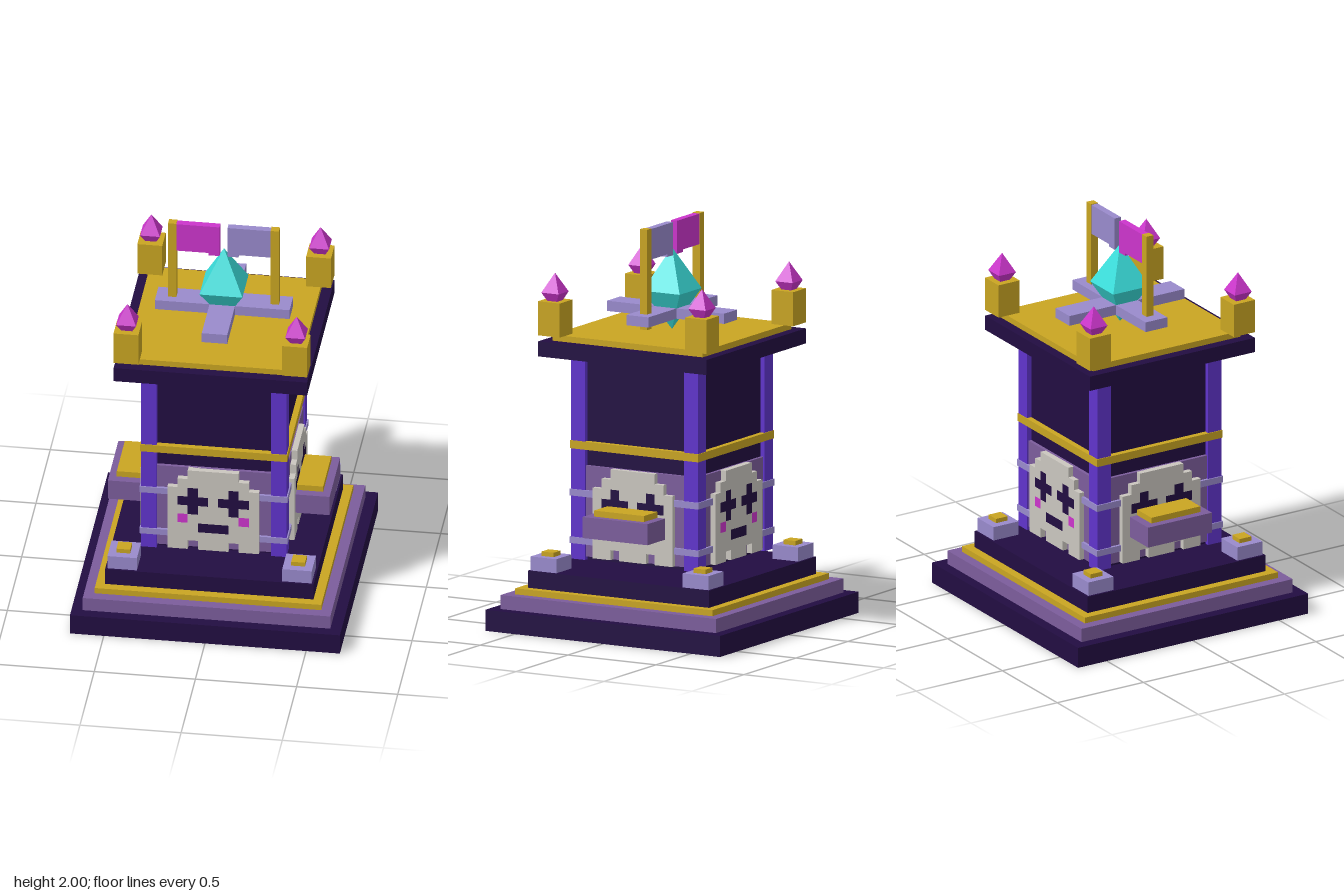
import * as THREE from 'three';

const mat = (name, color) => {
  const m = new THREE.MeshStandardMaterial({ color, flatShading: true });
  m.name = name;
  return m;
};

export function createModel() {
  const dark = mat('dark indigo', 0x220d42);
  const plum = mat('plum', 0x7c5d9c);
  const gold = mat('gold', 0xc9a522);
  const lilac = mat('lilac', 0x998acc);
  const violet = mat('violet', 0x6034cc);
  const bone = mat('bone', 0xcac6bf);
  const magenta = mat('magenta', 0xcc35cc);
  const cyan = mat('cyan', 0x3adedb);

  const model = new THREE.Group();
  model.name = 'shrineTower';

  // Box given by its lower and upper limits on each axis
  const box = (name, m, [x0, x1], [y0, y1], [z0, z1], parent = model) => {
    const mesh = new THREE.Mesh(new THREE.BoxGeometry(x1 - x0, y1 - y0, z1 - z0), m);
    mesh.position.set((x0 + x1) / 2, (y0 + y1) / 2, (z0 + z1) / 2);
    mesh.name = name;
    parent.add(mesh);
    return mesh;
  };
  // Square slab centred on the axis
  const slab = (name, m, h, y0, y1) => box(name, m, [-h, h], [y0, y1], [-h, h]);
  // Square block centred on (x, z)
  const block = (name, m, x, z, h, y0, y1) =>
    box(name, m, [x - h, x + h], [y0, y1], [z - h, z + h]);
  // Four-sided double pyramid
  const crystal = (name, m, x, z, h, bottom, middle, top) => {
    const g = new THREE.Group();
    g.name = name;
    const up = new THREE.Mesh(new THREE.ConeGeometry(h * Math.SQRT2, top - middle, 4, 1, true), m);
    up.position.y = (top + middle) / 2;
    const down = new THREE.Mesh(new THREE.ConeGeometry(h * Math.SQRT2, middle - bottom, 4, 1, true), m);
    down.position.y = (middle + bottom) / 2;
    down.rotation.x = Math.PI;
    up.name = name + 'Top';
    down.name = name + 'Bottom';
    g.add(up, down);
    // Turn the square parallel to the tower
    g.rotation.y = Math.PI / 4;
    g.position.set(x, 0, z);
    model.add(g);
  };

  // Stepped base
  slab('baseStep', dark, 0.667, 0, 0.105);
  slab('middleStep', plum, 0.612, 0.105, 0.175);
  slab('goldStep', gold, 0.56, 0.175, 0.205);
  slab('topStep', dark, 0.515, 0.205, 0.29);

  // Tower body, floating just above the base
  slab('core', dark, 0.335, 0.34, 1.355);
  slab('goldBand', gold, 0.364, 0.89, 0.93);
  slab('lowerRing', lilac, 0.366, 0.418, 0.45);
  slab('upperRing', lilac, 0.366, 0.655, 0.688);

  // Roof
  slab('roofSlab', dark, 0.478, 1.355, 1.43);
  slab('roofPlate', gold, 0.427, 1.43, 1.46);

  // Corner parts
  for (const sx of [-1, 1]) {
    for (const sz of [-1, 1]) {
      block('pillar', violet, sx * 0.321, sz * 0.321, 0.039, 0.34, 1.355);
      block('cornerFoot', lilac, sx * 0.432, sz * 0.432, 0.073, 0.29, 0.36);
      block('footCap', gold, sx * 0.432, sz * 0.432, 0.034, 0.36, 0.382);
      block('turret', gold, sx * 0.417, sz * 0.417, 0.0615, 1.46, 1.63);
      crystal('turretGem', magenta, sx * 0.418, sz * 0.418, 0.049, 1.575, 1.672, 1.768);
    }
  }

  // Pixel skull: B bone, D dark, M magenta, blank shows the panel
  const rows = [
    '   BBBBB   ',
    '  BBBBBBB  ',
    ' BBDBBBDBB ',
    ' BDDDBDDDB ',
    ' BBDBBBDBB ',
    ' BMBBBBBMB ',
    ' BBBDDDBBB ',
    ' BBBBBBBBB ',
    ' BB BBB BB ',
  ];
  const paint = { B: ['skull', bone], D: ['eyesAndMouth', dark], M: ['cheek', magenta] };
  const p = 0.0503, top = 0.81;
  for (let side = 0; side < 4; side++) {
    const face = new THREE.Group();
    face.name = 'skullFace';
    face.rotation.y = side * Math.PI / 2;
    model.add(face);
    box('facePanel', plum, [-0.282, 0.282], [0.357, top], [0.33, 0.352], face);
    rows.forEach((row, r) => {
      // One box per run of equal pixels
      for (const run of row.matchAll(/B+|D+|M+/g)) {
        const [name, m] = paint[run[0][0]];
        const x = (run.index - 5.5) * p;
        box(name, m, [x, x + run[0].length * p],
          [top - (r + 1) * p, top - r * p], [0.345, 0.38], face);
      }
    });
  }

  // Side shelves
  for (const s of [-1, 1]) {
    const span = (a, b) => (s > 0 ? [a, b] : [-b, -a]);
    box('shelf', plum, span(0.36, 0.548), [0.49, 0.595], [-0.185, 0.185]);
    box('shelfTop', gold, span(0.36, 0.51), [0.595, 0.625], [-0.142, 0.142]);

    // Flagpoles and their banners
    const cloth = s < 0 ? magenta : lilac;
    box('flagPole', gold, span(0.233, 0.274), [1.5, 2], [-0.02, 0.02]);
    box('banner', cloth, span(0.02, 0.233), [1.845, 1.997], [-0.018, 0.018]);
    box('bannerTip', cloth, span(0.02, 0.074), [1.832, 1.845], [-0.018, 0.018]);
  }

  // Floating cross and the large crystal
  box('crossBar', lilac, [-0.333, 0.333], [1.527, 1.578], [-0.063, 0.063]);
  for (const s of [-1, 1]) {
    const z = s > 0 ? [0.063, 0.333] : [-0.333, -0.063];
    box('crossArm', lilac, [-0.063, 0.063], [1.527, 1.578], z);
  }
  crystal('largeCrystal', cyan, 0, 0, 0.106, 1.46, 1.657, 1.867);

  return model;
}
